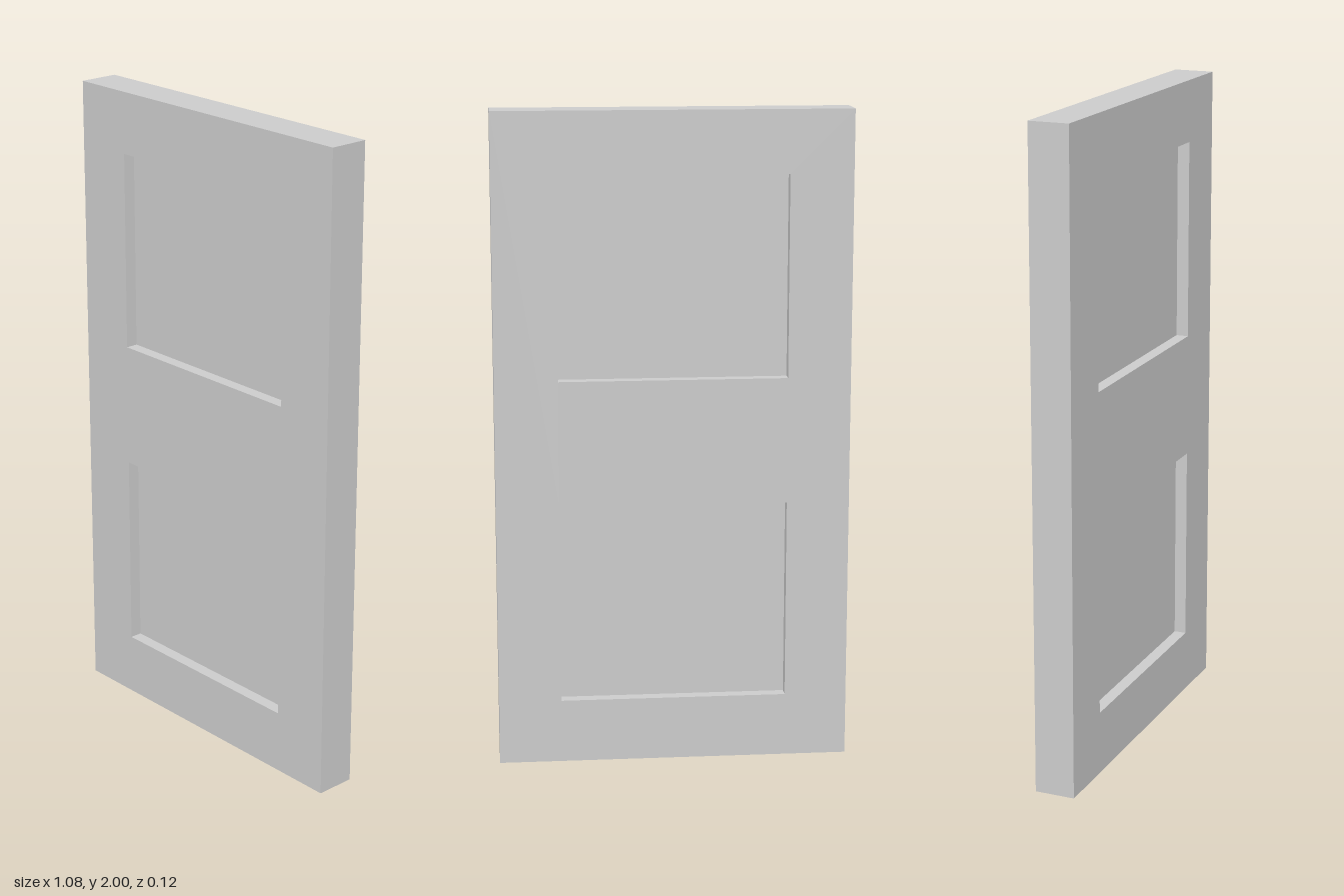
import * as THREE from 'three';

const WIDTH = 1.075, HEIGHT = 2, DEPTH = 0.124;
const PANEL_W = 0.693, PANEL_H = 0.614, RECESS = 0.038;
const PANEL_CENTRES = [0.503, 1.503];

// Adds a rectangle, centred on x = 0, to a shape or path
function rectangle(path, w, h, cy) {
  path.moveTo(-w / 2, cy - h / 2);
  path.lineTo(w / 2, cy - h / 2);
  path.lineTo(w / 2, cy + h / 2);
  path.lineTo(-w / 2, cy + h / 2);
  path.closePath();
  return path;
}

export function createModel() {
  const group = new THREE.Group();
  group.name = 'panelDoor';
  const material = new THREE.MeshStandardMaterial({ color: 0xcccccc });

  // Door frame with two rectangular openings
  const outline = rectangle(new THREE.Shape(), WIDTH, HEIGHT, HEIGHT / 2);
  for (const cy of PANEL_CENTRES) {
    outline.holes.push(rectangle(new THREE.Path(), PANEL_W, PANEL_H, cy));
  }
  const frameGeometry = new THREE.ExtrudeGeometry(outline, { depth: DEPTH, bevelEnabled: false });
  frameGeometry.translate(0, 0, -DEPTH / 2);
  const frame = new THREE.Mesh(frameGeometry, material);
  frame.name = 'frame';
  group.add(frame);

  // Panels fill the openings, recessed equally on the front and back
  const panelGeometry = new THREE.BoxGeometry(PANEL_W, PANEL_H, DEPTH - 2 * RECESS);
  PANEL_CENTRES.forEach((cy, i) => {
    const panel = new THREE.Mesh(panelGeometry, material);
    panel.name = i === 0 ? 'lowerPanel' : 'upperPanel';
    panel.position.y = cy;
    group.add(panel);
  });

  return group;
}
